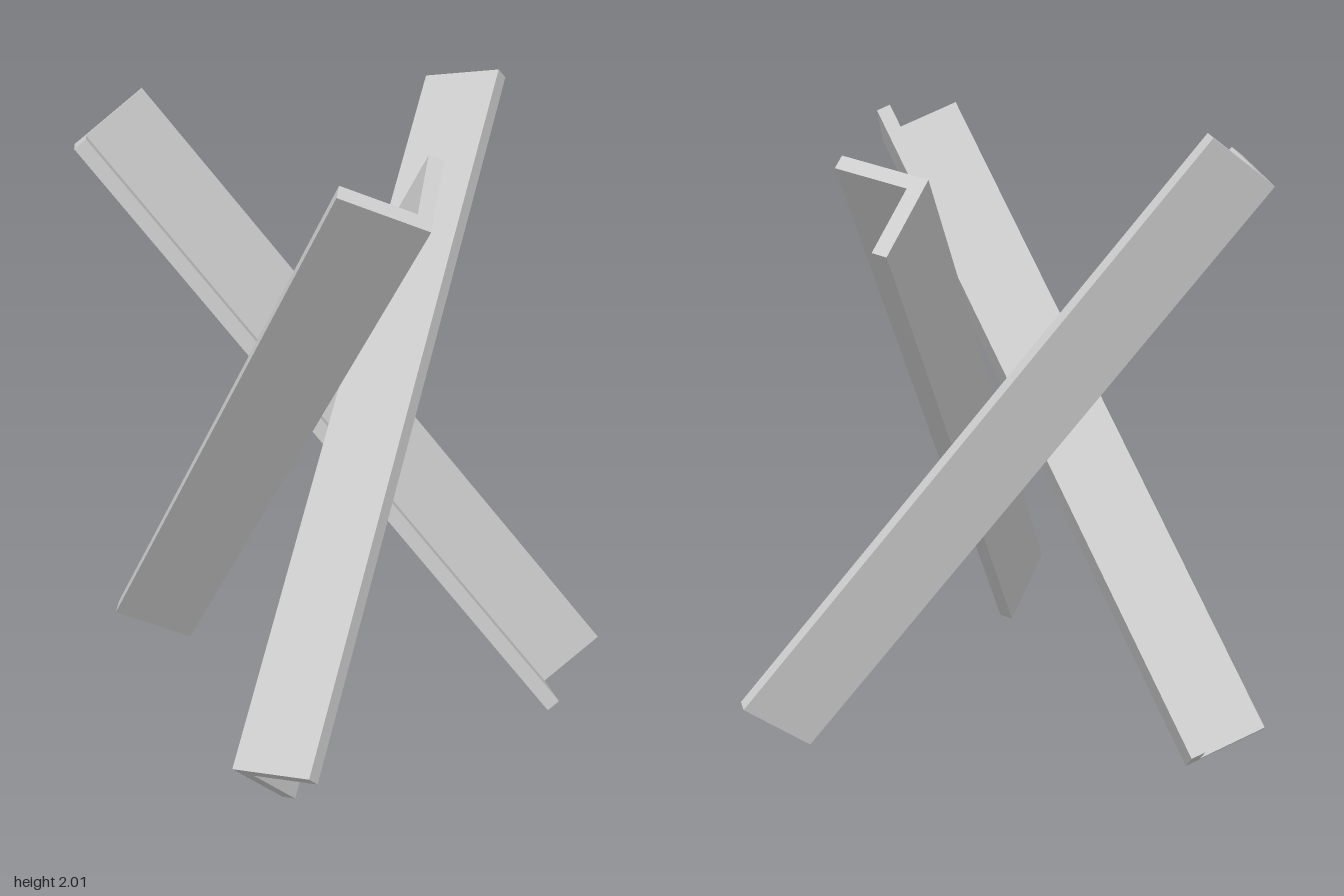
import * as THREE from 'three';

const LEG = 0.272, THICK = 0.046;

// L-shaped section with its outer heel at the origin
function angleSection() {
  return new THREE.Shape([
    [0, 0], [LEG, 0], [LEG, THICK], [THICK, THICK], [THICK, LEG], [0, LEG],
  ].map(([x, y]) => new THREE.Vector2(x, y)));
}

// Angle-iron beam: heel edge runs from foot to head, legs point along legA and legB
function angleBeam(name, foot, head, legA, legB, material) {
  const start = new THREE.Vector3(...foot);
  const axis = new THREE.Vector3(...head).sub(start);
  const length = axis.length();
  axis.normalize();

  // square up the section frame around the beam axis
  const a = new THREE.Vector3(...legA);
  a.addScaledVector(axis, -a.dot(axis)).normalize();
  const b = new THREE.Vector3().crossVectors(axis, a);
  const flipped = b.dot(new THREE.Vector3(...legB)) < 0;
  if (flipped) b.negate();
  const frame = flipped
    ? new THREE.Matrix4().makeBasis(b, a, axis)
    : new THREE.Matrix4().makeBasis(a, b, axis);

  const geometry = new THREE.ExtrudeGeometry(angleSection(), { depth: length, bevelEnabled: false });
  geometry.applyMatrix4(frame.setPosition(start));
  const mesh = new THREE.Mesh(geometry, material);
  mesh.name = name;
  return mesh;
}

export function createModel() {
  const group = new THREE.Group();
  group.name = 'antiTankObstacle';
  const steel = new THREE.MeshStandardMaterial({ color: 0xcccccc, flatShading: true });

  // three crossed beams locked together near the middle
  group.add(
    angleBeam('sidewaysBeam', [-0.8, 0.165, 0.433], [0.58, 1.965, -0.077],
      [0.04, 0.035, 0.265], [0.215, -0.165, -0.013], steel),
    angleBeam('forwardLeaningBeam', [0.025, 0.024, -0.64], [-0.426, 1.74, 0.835],
      [-0.19, 0.096, -0.173], [0.19, 0.154, -0.115], steel),
    angleBeam('backwardLeaningBeam', [0.547, 0.008, 0.45], [-0.427, 1.8, -0.637],
      [-0.174, 0.03, 0.21], [0.173, 0.17, 0.13], steel),
  );
  return group;
}
